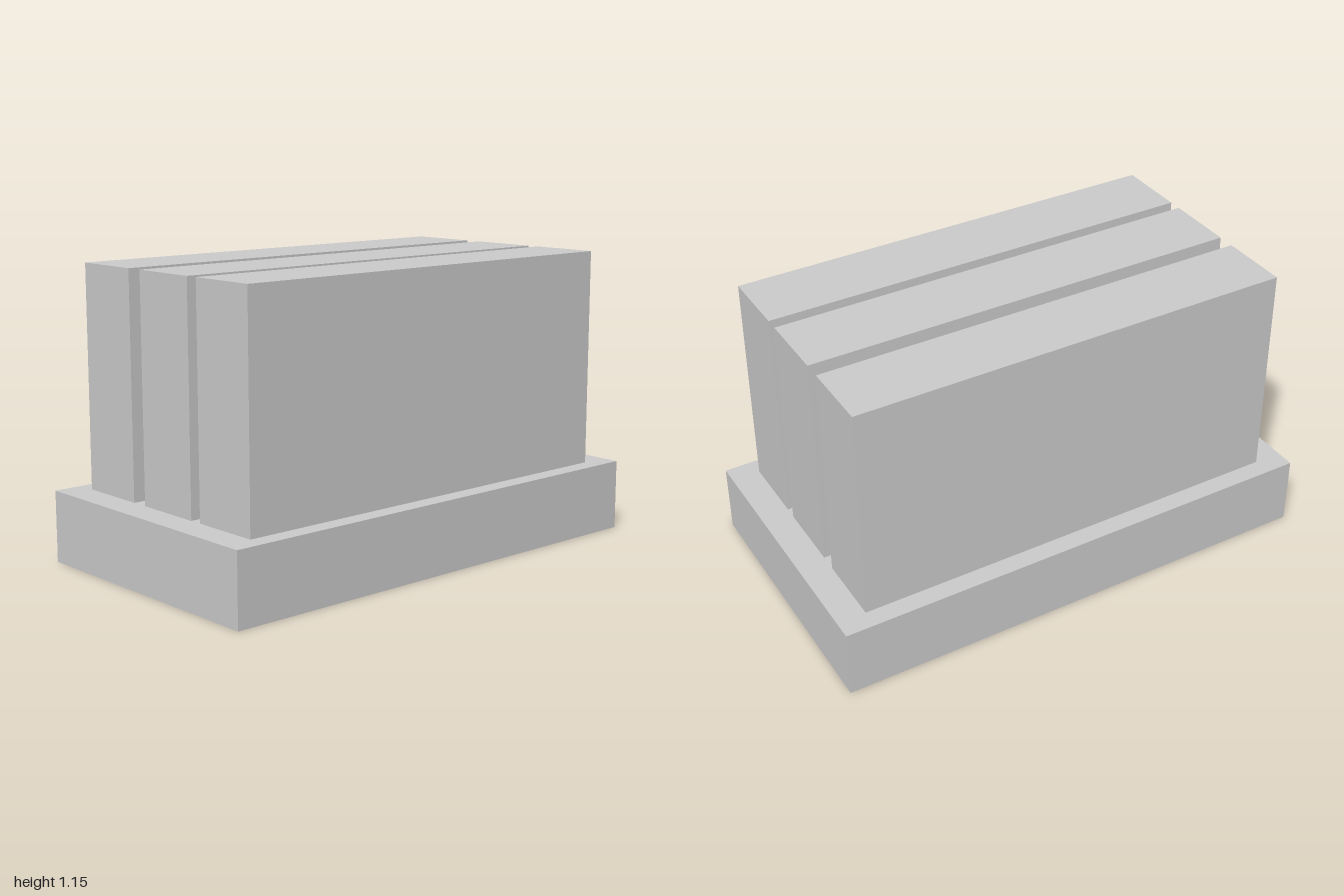
import * as THREE from 'three';

const BASE_HEIGHT = 0.282;
const SLAB_HEIGHT = 0.872;

export function createModel() {
  const model = new THREE.Group();
  const material = new THREE.MeshStandardMaterial({ color: 0xcccccc, flatShading: true });

  // Adds a box standing on the height y, centred on x = 0
  const addBox = (name, width, height, depth, y, z) => {
    const mesh = new THREE.Mesh(new THREE.BoxGeometry(width, height, depth), material);
    mesh.name = name;
    mesh.position.set(0, y + height / 2, z);
    model.add(mesh);
  };

  // Plinth
  addBox('base', 2, BASE_HEIGHT, 1.118, 0, 0);

  // Three upright slabs, slightly unevenly spaced
  const slabs = { frontSlab: 0.345, middleSlab: 0.011, backSlab: -0.341 };
  for (const [name, z] of Object.entries(slabs)) {
    addBox(name, 1.77, SLAB_HEIGHT, 0.283, BASE_HEIGHT, z);
  }

  return model;
}
